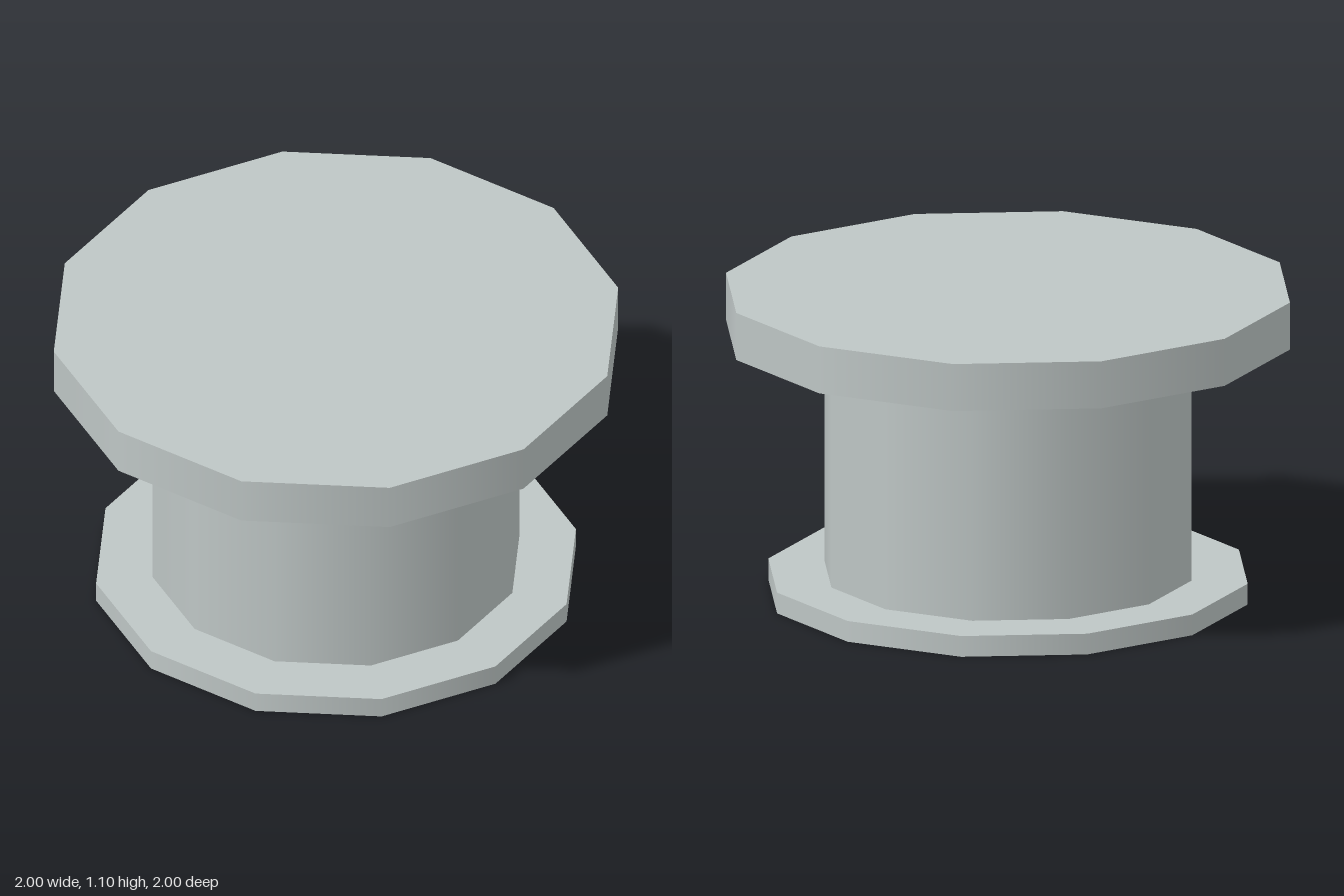
import * as THREE from 'three';

export function createModel() {
  const model = new THREE.Group();
  model.name = 'spool';

  const paleGrey = new THREE.MeshStandardMaterial({ color: 0xbec6c5 });
  paleGrey.name = 'paleGrey';

  // Twelve-sided disc between two heights, smooth around its side
  const addDisc = (name, radius, bottom, top) => {
    const height = top - bottom;
    const mesh = new THREE.Mesh(new THREE.CylinderGeometry(radius, radius, height, 12), paleGrey);
    mesh.name = name;
    mesh.position.y = bottom + height / 2;
    model.add(mesh);
  };

  addDisc('baseFlange', 0.85, 0, 0.075);
  addDisc('core', 0.65, 0.075, 0.93);
  addDisc('topFlange', 1, 0.93, 1.1);

  return model;
}
